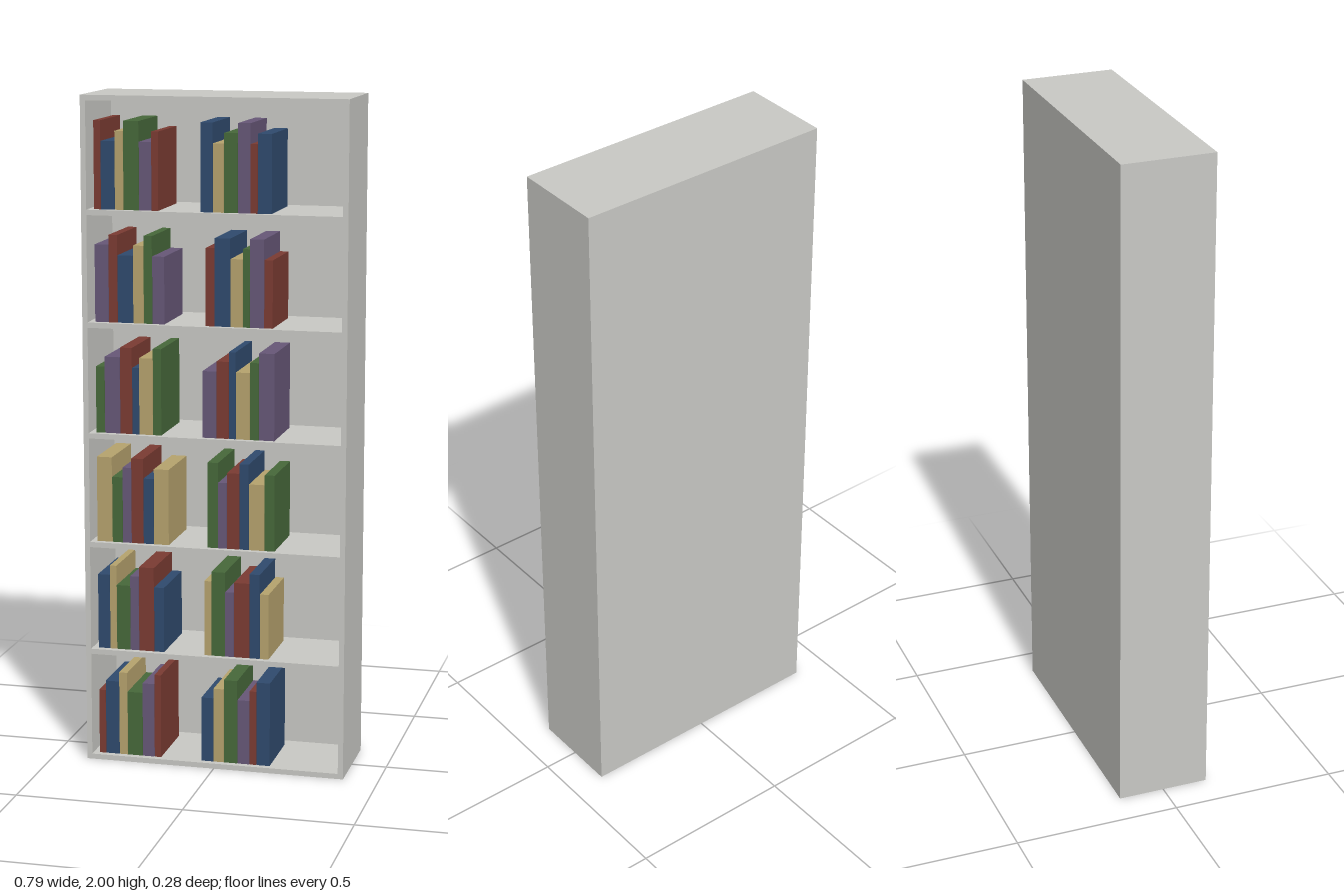
import * as THREE from 'three';

const W = 0.79, H = 2, D = 0.278, T = 0.0158;
const ROWS = 6, PITCH = (H - T) / ROWS;

const mat = (name, color) => {
  const m = new THREE.MeshStandardMaterial({ color });
  m.name = name;
  return m;
};

// Box placed by its left, bottom and back corner
function box(parent, name, material, x, y, z, w, h, d) {
  const mesh = new THREE.Mesh(new THREE.BoxGeometry(w, h, d), material);
  mesh.name = name;
  mesh.position.set(x + w / 2, y + h / 2, z + d / 2);
  parent.add(mesh);
}

// Book widths in thousandths, bottom row first: [left group, right group]
const WIDTHS = [
  [[21, 42, 26, 47, 37, 21], [37, 32, 42, 37, 21, 42]],
  [[37, 21, 42, 27, 47, 31], [21, 42, 27, 47, 32, 27]],
  [[47, 32, 27, 37, 32, 46], [32, 26, 38, 29, 47, 31]],
  [[27, 47, 37, 21, 42, 26], [42, 37, 21, 42, 27, 47]],
  [[42, 27, 47, 32, 26, 37], [27, 47, 37, 21, 42, 26]],
  [[21, 42, 26, 47, 37, 21], [37, 32, 42, 37, 21, 42]],
];
const STARTS = [[-0.361, -0.042], [-0.361, -0.032], [-0.361, -0.022],
  [-0.361, -0.037], [-0.361, -0.027], [-0.361, -0.042]];
const HEIGHTS = [0.198, 0.228, 0.257];

export function createModel() {
  const model = new THREE.Group();
  model.name = 'bookcase';
  const grey = mat('caseGrey', 0xc8c8c4);
  const covers = [
    mat('coverRed', 0x7a3b32), mat('coverBlue', 0x2f4a6d), mat('coverTan', 0xb5a26d),
    mat('coverGreen', 0x46683a), mat('coverPurple', 0x665777),
  ];

  // Case: sides, back and shelf boards (including top and bottom)
  const frame = new THREE.Group();
  frame.name = 'case';
  model.add(frame);
  box(frame, 'rightSide', grey, -W / 2, 0, -D / 2, T, H, D);
  box(frame, 'leftSide', grey, W / 2 - T, 0, -D / 2, T, H, D);
  box(frame, 'backPanel', grey, -W / 2 + T, 0, -D / 2, W - 2 * T, H, T);
  for (let i = 0; i <= ROWS; i++) {
    const name = i === 0 ? 'bottomBoard' : i === ROWS ? 'topBoard' : 'shelf';
    box(frame, name, grey, -W / 2 + T, i * PITCH, -D / 2 + T, W - 2 * T, T, D - T);
  }

  // Two groups of books on each shelf, cycling through covers and heights
  WIDTHS.forEach((groups, row) => groups.forEach((widths, g) => {
    const books = new THREE.Group();
    books.name = 'bookGroup';
    model.add(books);
    let x = STARTS[row][g];
    widths.forEach((w, k) => {
      const h = HEIGHTS[(row + k) % 3];
      box(books, 'book', covers[(row + g + k) % 5], x, row * PITCH + T, -0.085, w / 1000 - 0.001, h, 0.205);
      x += w / 1000;
    });
  }));
  return model;
}
